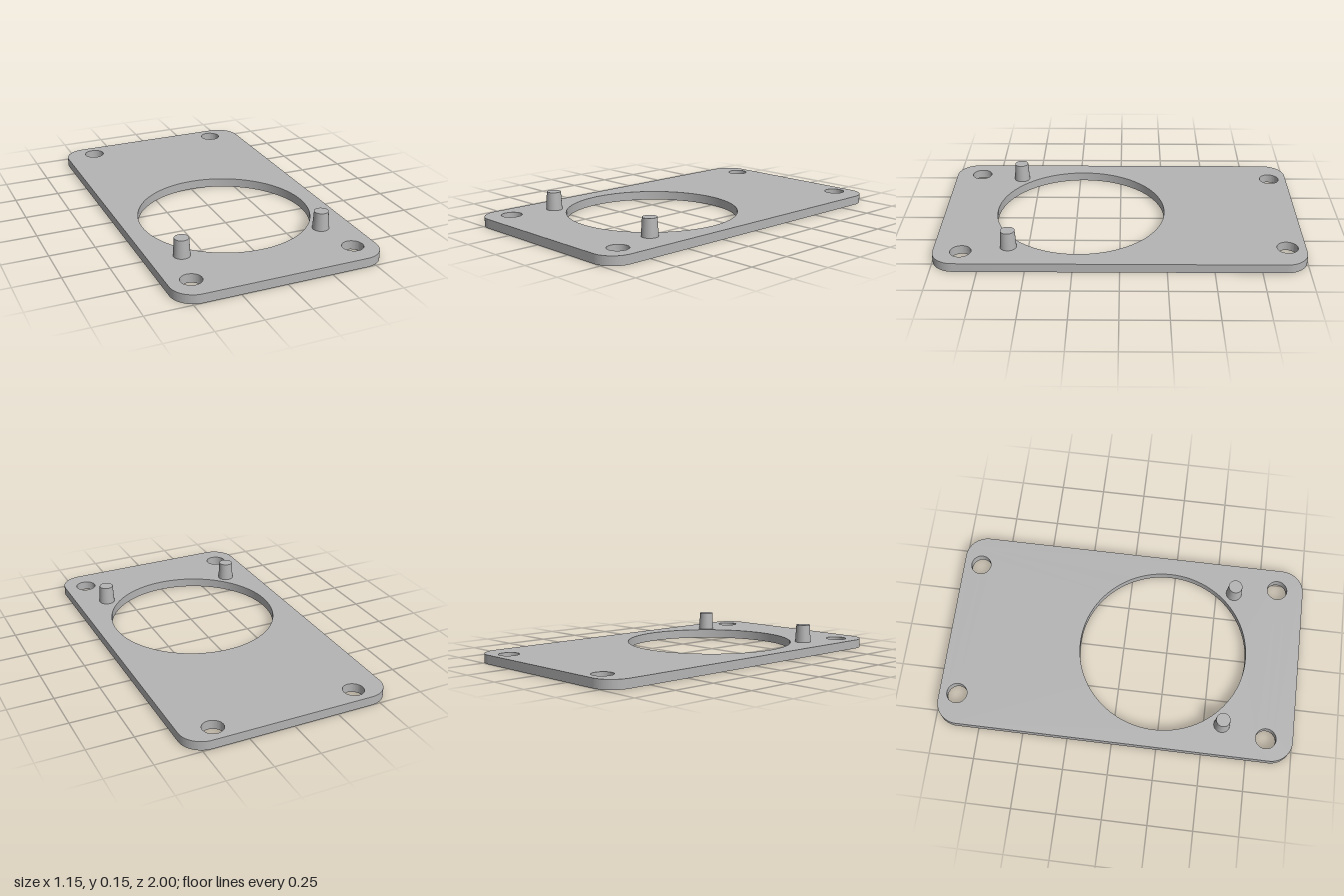
import * as THREE from 'three';
import { toCreasedNormals } from 'three/addons/utils/BufferGeometryUtils.js';

const HALF_W = 0.575, HALF_L = 1, CORNER = 0.125, THICK = 0.05;

function addHole(shape, x, z, r) {
  const hole = new THREE.Path();
  hole.absarc(x, -z, r, 0, Math.PI * 2, true);
  shape.holes.push(hole);
}

// Rounded rectangle drawn flat, with z running along -y of the shape
function plateShape() {
  const s = new THREE.Shape();
  const cx = HALF_W - CORNER, cy = HALF_L - CORNER, q = Math.PI / 2;
  s.absarc(cx, cy, CORNER, 0, q, false);
  s.absarc(-cx, cy, CORNER, q, 2 * q, false);
  s.absarc(-cx, -cy, CORNER, 2 * q, 3 * q, false);
  s.absarc(cx, -cy, CORNER, 3 * q, 4 * q, false);
  s.closePath();
  return s;
}

export function createModel() {
  const model = new THREE.Group();
  model.name = 'mountingPlate';
  const grey = new THREE.MeshStandardMaterial({ color: 0xb4b4b4 });
  grey.name = 'grey';

  // Plate with a large round opening and four screw holes
  const shape = plateShape();
  addHole(shape, 0, 0.225, 0.475);
  for (const side of [-1, 1]) {
    addHole(shape, side * 0.4, -0.9, 0.057);
    addHole(shape, side * 0.45, 0.85, 0.057);
  }
  const plateGeo = new THREE.ExtrudeGeometry(shape, { depth: THICK, bevelEnabled: false, curveSegments: 48 });
  plateGeo.rotateX(-Math.PI / 2);
  const plate = new THREE.Mesh(toCreasedNormals(plateGeo, 0.6), grey);
  plate.name = 'plate';
  model.add(plate);

  // Tapered locating pegs beside the opening
  const pegGeo = new THREE.CylinderGeometry(0.039, 0.045, 0.1, 40);
  for (const side of [-1, 1]) {
    const peg = new THREE.Mesh(pegGeo, grey);
    peg.name = side > 0 ? 'leftPeg' : 'rightPeg';
    peg.position.set(side * 0.4, THICK + 0.05, 0.6);
    model.add(peg);
  }
  return model;
}
